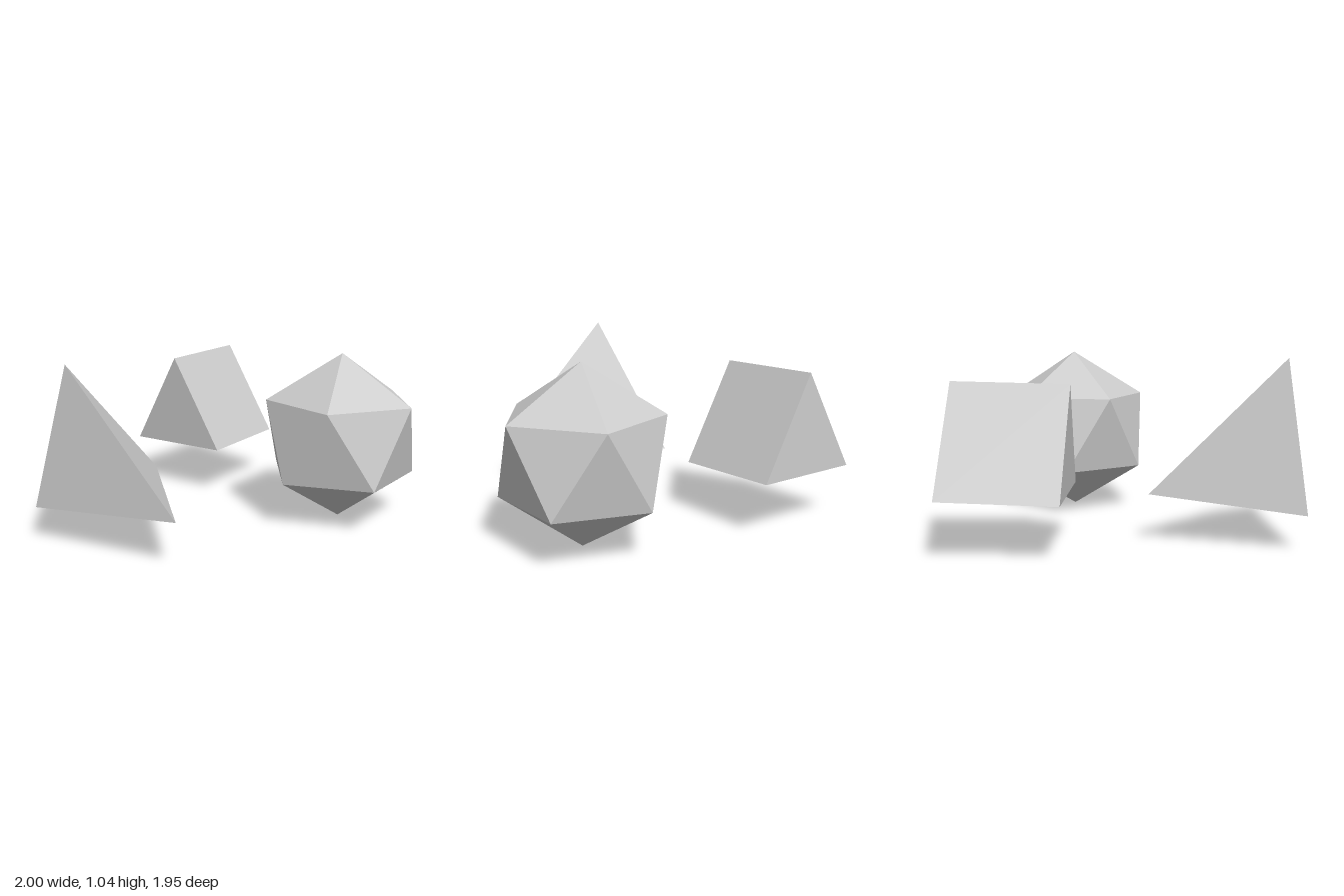
import * as THREE from 'three';
import { ConvexGeometry } from 'three/addons/geometries/ConvexGeometry.js';

const material = new THREE.MeshStandardMaterial({ color: 0xcccccc, flatShading: true });

// Flat-faced solid spanned by its corner points
function solid(name, corners) {
  const points = corners.map(c => new THREE.Vector3(...c));
  const mesh = new THREE.Mesh(new ConvexGeometry(points), material);
  mesh.name = name;
  return mesh;
}

// Icosahedron corners: two poles and two staggered rings of five
function icosahedronCorners(radius) {
  const ringY = radius / Math.sqrt(5), ringR = 2 * ringY;
  const corners = [[0, radius, 0], [0, -radius, 0]];
  for (let i = 0; i < 10; i++) {
    const a = i * Math.PI / 5;
    corners.push([ringR * Math.cos(a), i % 2 ? -ringY : ringY, ringR * Math.sin(a)]);
  }
  return corners;
}

export function createModel() {
  const group = new THREE.Group();
  group.name = 'polyhedra';

  // Icosahedron standing on one corner
  const icosahedron = solid('icosahedron', icosahedronCorners(0.515));
  icosahedron.position.set(0.54, 0.515, -0.43);
  group.add(icosahedron);

  // Four-cornered pyramid at the front
  group.add(solid('tetrahedron', [
    [-0.492, 1.04, 0.872], [-0.68, 0.203, 0.97], [0.272, 0.275, 0.872], [-0.492, 0.275, 0.108],
  ]));

  // Triangular prism at the back, tipped slightly forward
  const prism = [];
  for (const [y, z, rise] of [[0.31, -0.323, 0.595], [0.327, -0.976, 0.592]]) {
    prism.push([-1, y, z], [-0.32, y, z], [-0.66, y + rise, z + 0.018]);
  }
  group.add(solid('triangularPrism', prism));

  return group;
}
